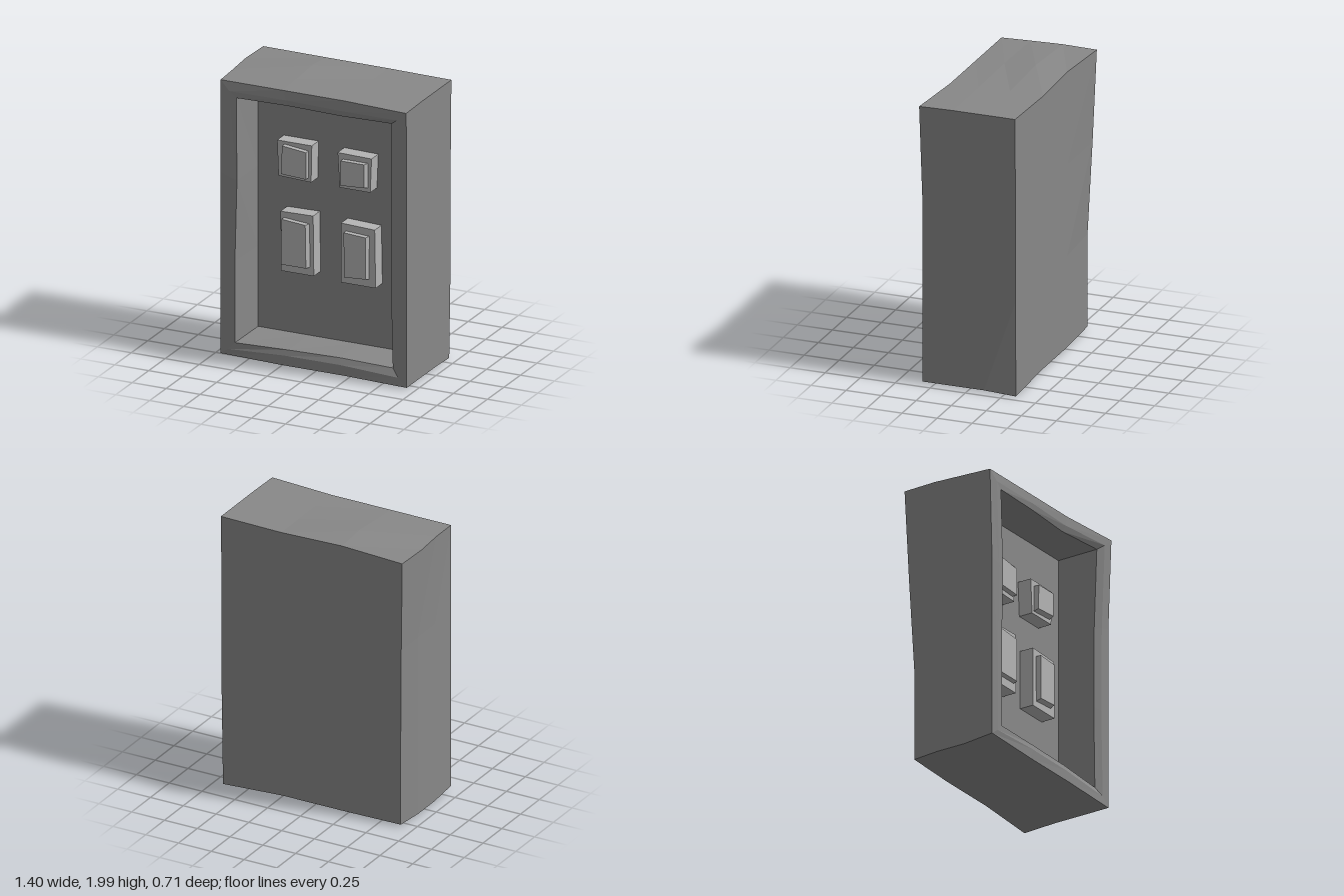
import * as THREE from 'three';

const W = 0.68, H = 0.975, D = 0.335;
const CASE_COLOR = 0x888888, SWITCH_COLOR = 0xb3b3b3;

function makeMesh(name, geometry, color) {
  geometry.computeVertexNormals();
  const material = new THREE.MeshStandardMaterial({ color, flatShading: true });
  const mesh = new THREE.Mesh(geometry, material);
  mesh.name = name;
  return mesh;
}

// Hand-made unevenness of the case, as a rule on position (y from 0 to 2)
function warp(x, y, z) {
  const t = Math.max(0, (y - 1.33) / 0.64);
  const bulge = Math.exp(-(((z + 0.11) / 0.2) ** 2));
  const left = x < -0.65, right = x > 0.65, front = z > 0.25, back = z < -0.3;
  let px = x + 0.005, py = y, pz = z;
  if (left) px -= t * (0.006 + 0.022 * bulge + (back ? 0.008 : 0));
  if (right) px += 0.009 + 0.006 * t - (back && y < 0.1 ? 0.01 : 0);
  if (y > 1.9) py += 0.025 * Math.exp(-(((x + 0.23) / 0.25) ** 2)) * bulge - 0.005 * front;
  if (y < 0.1) {
    py += Math.abs(x) < 0.4 ? 0.005 : -0.005;
    if (right && back) py -= 0.015;
    if (left && front) py += 0.02;
  }
  if (front) pz += t * (x > 0.3 ? 0.02 : -0.012) - 0.006;
  if (back) pz -= t * (x < -0.5 ? 0.022 : Math.abs(x - 0.23) < 0.1 ? 0.012 : 0);
  // lower back edge pulled inwards on one side
  if (left && back && y < 0.7) {
    px += 0.02;
    pz += 0.028;
  }
  return [px, py, pz];
}

// Outer walls and back: a segmented box without its front
function caseShell() {
  const g = new THREE.BoxGeometry(2 * W, 2 * H, 2 * D, 3, 3, 3);
  const idx = Array.from(g.index.array);
  idx.splice(4 * 54, 54);
  g.setIndex(idx);
  g.clearGroups();
  const p = g.attributes.position;
  for (let i = 0; i < p.count; i++) {
    p.setXYZ(i, ...warp(p.getX(i), p.getY(i) + 1, p.getZ(i)));
  }
  return g;
}

// Rectangular ring of 12 points, anticlockwise from the front; lean tilts it in z along x
function ring(w, h, z, wobble, lean) {
  const corners = [[-1, -1], [1, -1], [1, 1], [-1, 1]];
  const points = [];
  corners.forEach(([ax, ay], c) => {
    const [bx, by] = corners[(c + 1) % 4];
    for (let s = 0; s < 3; s++) {
      const k = wobble * Math.sin(points.length * 2.3 + 1);
      const x = (ax + ((bx - ax) * s) / 3) * (w + k);
      const y = 1 + (ay + ((by - ay) * s) / 3) * (h + k);
      points.push(warp(x, y, z - lean * x));
    }
  });
  return points;
}

// Strips between successive rings
function loft(rings) {
  const n = rings[0].length, idx = [];
  for (let r = 0; r < rings.length - 1; r++) {
    for (let i = 0; i < n; i++) {
      const a = r * n + i, b = r * n + ((i + 1) % n);
      idx.push(a, b, b + n, a, b + n, a + n);
    }
  }
  const g = new THREE.BufferGeometry();
  g.setAttribute('position', new THREE.Float32BufferAttribute(rings.flat(2), 3));
  g.setIndex(idx);
  return g;
}

// Box with freely placed corners (top left, top right, bottom right, bottom left);
// its back is wider by dx on the right and dy at the bottom
function block(corners, z0, z1, [dx, dy]) {
  const g = new THREE.BoxGeometry(1, 1, 1);
  const p = g.attributes.position;
  for (let i = 0; i < p.count; i++) {
    const right = p.getX(i) > 0, top = p.getY(i) > 0, front = p.getZ(i) > 0;
    const [x, y] = corners[top ? (right ? 1 : 0) : (right ? 2 : 3)];
    p.setXYZ(i,
      x + (right && !front ? dx : 0),
      y - (!top && !front ? dy : 0),
      front ? z1 : z0);
  }
  return g;
}

export function createModel() {
  const group = new THREE.Group();
  group.name = 'switchBox';
  group.add(makeMesh('caseShell', caseShell(), CASE_COLOR));

  // Softly crested rim and walls of the recess
  const innerEdge = ring(0.565, 0.86, D - 0.012, 0.008, 0.03);
  group.add(makeMesh('rim', loft([
    ring(W, H, D, 0, 0),
    ring(0.615, 0.905, D + 0.003, 0.01, 0.008),
    innerEdge,
  ]), CASE_COLOR));
  group.add(makeMesh('recessWalls', loft([innerEdge, ring(0.555, 0.855, 0.02, 0, 0)]), CASE_COLOR));
  const panel = new THREE.PlaneGeometry(1.11, 1.71);
  panel.translate(0.005, 1, 0.02);
  group.add(makeMesh('recessPanel', panel, CASE_COLOR));

  // Switches: a base block with a smaller raised key
  const switches = [
    ['upperRight', [0, 0],
      [[-0.36, 1.53], [-0.105, 1.53], [-0.11, 1.27], [-0.35, 1.28]],
      [[-0.305, 1.51], [-0.13, 1.49], [-0.13, 1.3], [-0.315, 1.31]]],
    ['upperLeft', [0.012, 0.012],
      [[0.085, 1.515], [0.335, 1.51], [0.325, 1.27], [0.1, 1.27]],
      [[0.125, 1.475], [0.298, 1.475], [0.297, 1.31], [0.12, 1.3]]],
    ['lowerRight', [0.015, 0],
      [[-0.335, 1.03], [-0.095, 1.035], [-0.09, 0.61], [-0.33, 0.61]],
      [[-0.31, 0.99], [-0.135, 0.975], [-0.13, 0.67], [-0.315, 0.67]]],
    ['lowerLeft', [0.012, 0.012],
      [[0.11, 1.02], [0.358, 1.01], [0.365, 0.6], [0.11, 0.6]],
      [[0.148, 0.97], [0.308, 0.96], [0.307, 0.665], [0.15, 0.655]]],
  ];
  for (const [name, spread, base, key] of switches) {
    group.add(makeMesh(name + 'SwitchBase', block(base, 0.01, 0.122, [0, 0]), SWITCH_COLOR));
    group.add(makeMesh(name + 'SwitchKey', block(key, 0.115, 0.16, spread), SWITCH_COLOR));
  }
  return group;
}
